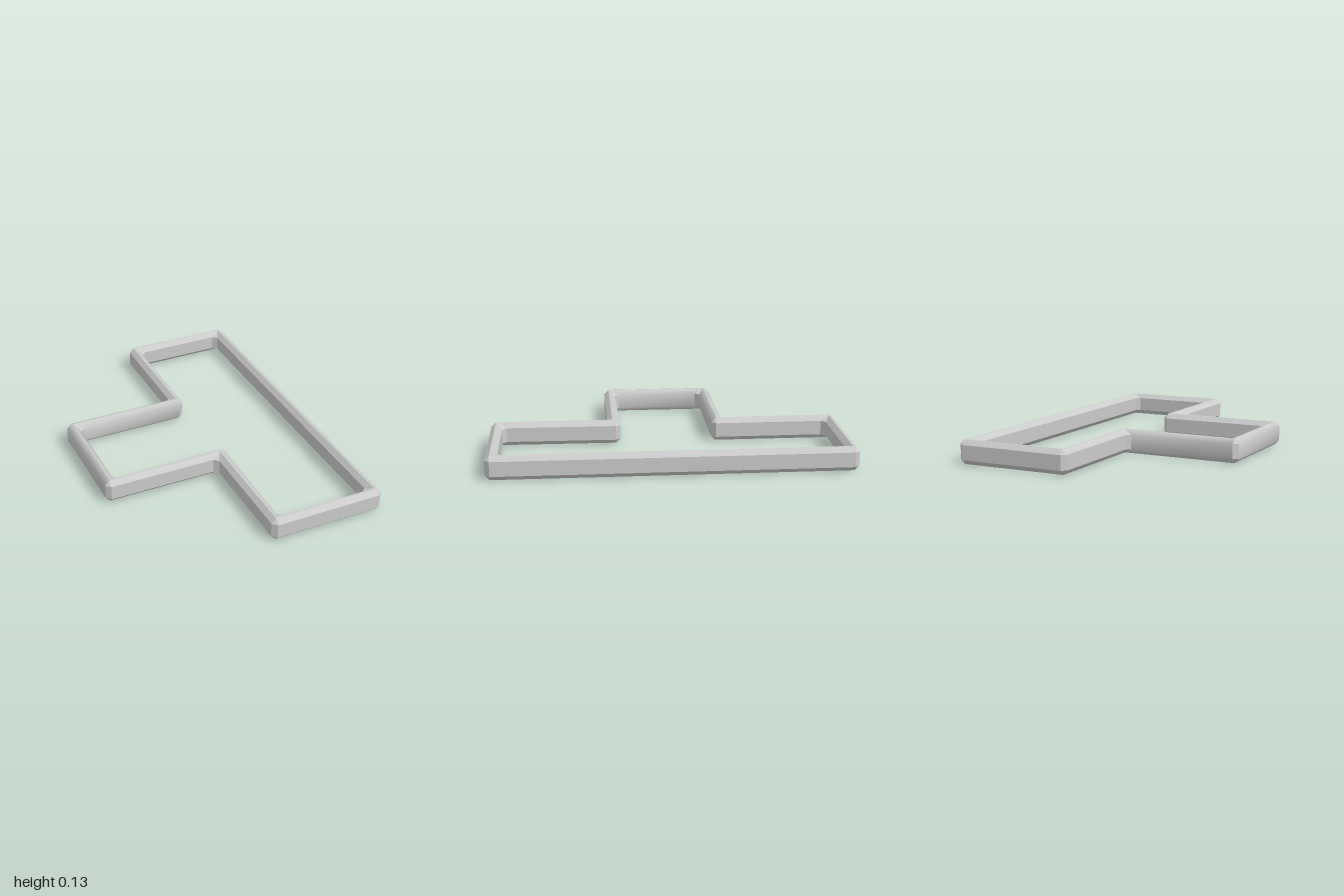
import * as THREE from 'three';

// Plan outline of the outer wall as [x, z], and the inward bevelled section as
// [inset, height, corner chamfer]
const OUTLINE = [[0, -1], [0.664, -1], [0.664, 1], [0, 1], [0, 0.332], [-0.664, 0.332], [-0.664, -0.332], [0, -0.332]];
const W = 0.064, H = 0.134, B = 0.026;
const SECTION = [
  [0, B, B], [0, H - B, B], [B, H, 0], [W - B, H, 0],
  [W, H - B, B], [W, B, B], [W - B, 0, 0], [B, 0, 0],
];
const SMOOTH_BEAMS = [5, 6]; // beams of the stem with rounded shading
const SKEWED_CORNER = 4, SKEW = 0.008; // one inner corner sits slightly off square

// Closed strip of quads between two section rings, skipping collapsed triangles
function strip(a, b, smooth) {
  const points = [...a, ...b], n = a.length, index = [];
  const add = (...t) => {
    if (new THREE.Triangle(...t.map((i) => points[i])).getArea() > 1e-7) index.push(...t);
  };
  for (let j = 0; j < n; j++) {
    const k = (j + 1) % n;
    add(j, k, n + j);
    add(k, n + k, n + j);
  }
  let geometry = new THREE.BufferGeometry().setFromPoints(points);
  geometry.setIndex(index);
  if (!smooth) geometry = geometry.toNonIndexed();
  geometry.computeVertexNormals();
  return geometry;
}

export function createModel() {
  const group = new THREE.Group();
  const material = new THREE.MeshStandardMaterial({ color: 0xcccccc });
  const add = (name, geometry) => {
    const mesh = new THREE.Mesh(geometry, material);
    mesh.name = name;
    group.add(mesh);
  };

  const corners = OUTLINE.map((p) => new THREE.Vector2(...p));
  const n = corners.length;
  const dirs = corners.map((p, i) => corners[(i + 1) % n].clone().sub(p).normalize());

  // Two section rings per corner: where one beam ends and the next begins
  const joints = corners.map((p, i) => {
    const before = dirs[(i + n - 1) % n], after = dirs[i];
    const ring = (dir, sign) => SECTION.map(([inset, y, chamfer]) => {
      const skew = i === SKEWED_CORNER && inset > W / 2 ? SKEW : 0;
      const x = p.x - inset * (before.y + after.y) + sign * dir.x * chamfer + skew;
      const z = p.y + inset * (before.x + after.x) + sign * dir.y * chamfer - skew;
      return new THREE.Vector3(x, y, z);
    });
    return { end: ring(before, -1), start: ring(after, 1) };
  });

  // Straight beams and the chamfered corners joining them
  joints.forEach((joint, i) => {
    add(`beam${i + 1}`, strip(joint.start, joints[(i + 1) % n].end, SMOOTH_BEAMS.includes(i)));
    add(`corner${i + 1}`, strip(joint.end, joint.start, false));
  });
  return group;
}
